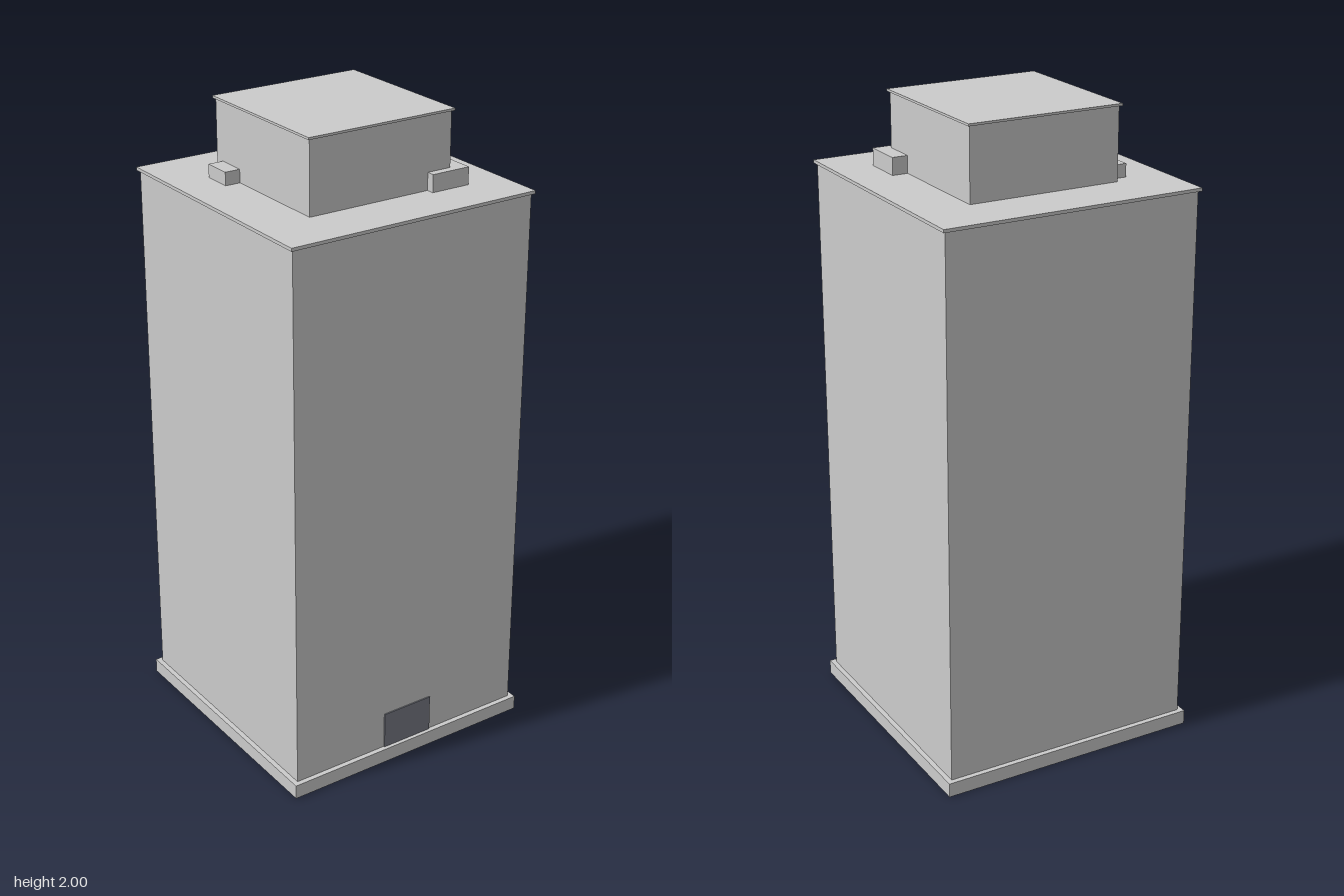
import * as THREE from 'three';

export function createModel() {
  const group = new THREE.Group();
  const grey = new THREE.MeshStandardMaterial({ color: 0xcccccc });
  const dark = new THREE.MeshStandardMaterial({ color: 0x797c86 });

  // Box given by its extents along each axis
  function block(name, [x0, x1], [y0, y1], [z0, z1], material = grey) {
    const mesh = new THREE.Mesh(new THREE.BoxGeometry(x1 - x0, y1 - y0, z1 - z0), material);
    mesh.position.set((x0 + x1) / 2, (y0 + y1) / 2, (z0 + z1) / 2);
    mesh.name = name;
    group.add(mesh);
  }

  // Square storeys: half width, bottom, top
  const storeys = [
    ['plinth', 0.426, 0, 0.046],
    ['tower', 0.41, 0.046, 1.76],
    ['towerRoof', 0.418, 1.76, 1.77],
    ['penthouse', 0.243, 1.77, 1.993],
    ['penthouseRoof', 0.25, 1.993, 2],
  ];
  for (const [name, half, y0, y1] of storeys) block(name, [-half, half], [y0, y1], [-half, half]);

  // Rooftop service units against the penthouse
  block('largeRoofUnit', [0.163, 0.292], [1.77, 1.824], [0.138, 0.268]);
  block('smallRoofUnit', [-0.292, -0.2], [1.77, 1.811], [-0.212, -0.119]);

  // Entrance on the front face
  block('door', [-0.087, 0.087], [0.046, 0.166], [0.405, 0.414], dark);

  return group;
}
